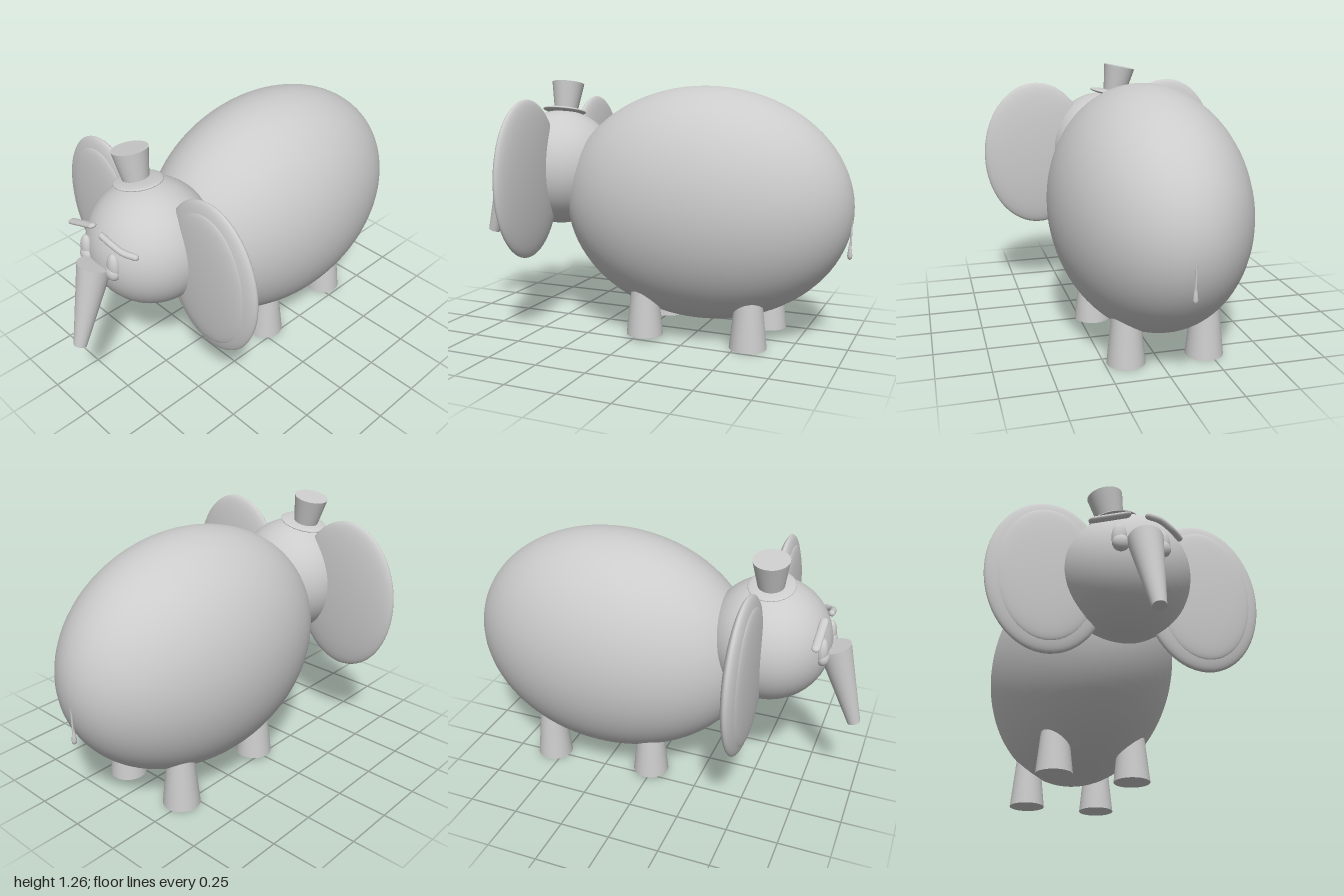
import * as THREE from 'three';

const material = new THREE.MeshStandardMaterial({ color: 0xcccccc });

// Adds a named mesh to a parent
function add(parent, name, geometry, [x, y, z]) {
  const mesh = new THREE.Mesh(geometry, material);
  mesh.name = name;
  mesh.position.set(x, y, z);
  parent.add(mesh);
  return mesh;
}

// Smooth ellipsoid with the given centre and radii
function ellipsoid(parent, name, centre, radii, segments = 40) {
  const geometry = new THREE.SphereGeometry(1, segments, Math.ceil(segments * 0.7));
  geometry.scale(...radii);
  return add(parent, name, geometry, centre);
}

// Tapered cylinder running from a lower to an upper point
function taper(parent, name, bottom, top, rBottom, rTop, segments = 32) {
  const a = new THREE.Vector3(...bottom), b = new THREE.Vector3(...top);
  const axis = b.clone().sub(a);
  const geometry = new THREE.CylinderGeometry(rTop, rBottom, axis.length(), segments);
  const mesh = add(parent, name, geometry, a.add(b).multiplyScalar(0.5).toArray());
  mesh.quaternion.setFromUnitVectors(new THREE.Vector3(0, 1, 0), axis.normalize());
  return mesh;
}

export function createModel() {
  const model = new THREE.Group();
  model.name = 'elephant';

  ellipsoid(model, 'body', [-0.025, 0.655, -0.268], [0.46, 0.575, 0.73], 64);

  // Head with eyes and trunk
  const head = new THREE.Group();
  head.name = 'head';
  model.add(head);
  ellipsoid(head, 'skull', [-0.008, 0.802, 0.53], [0.297, 0.297, 0.297], 48);
  for (const [side, s] of [['left', 1], ['right', -1]]) {
    ellipsoid(head, side + 'Eye', [-0.022 + s * 0.097, 0.835, 0.802], [0.035, 0.067, 0.028], 24);
    ellipsoid(head, side + 'Pupil', [-0.022 + s * 0.092, 0.805, 0.808], [0.04, 0.04, 0.03], 24);

    // Ear: thin outer lens with a smaller lens set into its front
    const ear = new THREE.Group();
    ear.name = side + 'Ear';
    head.add(ear);
    ellipsoid(ear, 'outerEar', [s * 0.368, 0.778, 0.507], [0.286, 0.387, 0.054], 48);
    ellipsoid(ear, 'innerEar', [s * 0.37, 0.778, 0.53], [0.236, 0.338, 0.035], 48);
  }
  taper(head, 'trunk', [-0.012, 0.427, 0.971], [-0.016, 0.818, 0.84], 0.031, 0.079);

  // Right brow is flat and stands off the face, left brow bends along it
  const rightBrow = new THREE.CapsuleGeometry(0.02, 0.165, 8, 16);
  rightBrow.rotateZ(Math.PI / 2);
  rightBrow.scale(1, 0.6, 1);
  add(head, 'rightBrow', rightBrow, [-0.156, 0.94, 0.79]).rotation.z = 0.35;

  const browPath = new THREE.CatmullRomCurve3([
    new THREE.Vector3(0.015, 0.968, 0.805),
    new THREE.Vector3(0.07, 0.957, 0.803),
    new THREE.Vector3(0.13, 0.93, 0.785),
    new THREE.Vector3(0.175, 0.915, 0.755),
  ]);
  add(head, 'leftBrow', new THREE.TubeGeometry(browPath, 20, 0.015, 12), [0, 0, 0]);
  for (const t of [0, 1]) {
    ellipsoid(head, 'leftBrowEnd', browPath.getPoint(t).toArray(), [0.015, 0.015, 0.015], 12);
  }

  // Tilted top hat
  const hat = new THREE.Group();
  hat.name = 'hat';
  hat.position.set(-0.062, 1.095, 0.537);
  hat.rotation.z = 0.2;
  model.add(hat);
  ellipsoid(hat, 'brim', [0, 0, 0], [0.122, 0.016, 0.11], 40);
  taper(hat, 'crown', [-0.015, 0, 0], [-0.015, 0.15, 0], 0.06, 0.085);

  // Legs: x, foot height, z
  const legs = [
    ['frontLeftLeg', 0.19, 0.018, -0.038],
    ['frontRightLeg', -0.205, 0.018, -0.005],
    ['backLeftLeg', 0.15, 0, -0.555],
    ['backRightLeg', -0.228, 0, -0.555],
  ];
  for (const [name, x, y, z] of legs) {
    taper(model, name, [x, y, z], [x, y + 0.3, z], 0.09, 0.058);
  }

  // Tail with a drop-shaped tuft
  const tail = new THREE.Group();
  tail.name = 'tail';
  model.add(tail);
  taper(tail, 'tailCord', [-0.02, 0.48, -0.99], [-0.02, 0.655, -0.992], 0.005, 0.005, 12);
  const tuft = [[0, -0.045], [0.009, -0.038], [0.012, -0.025], [0.009, 0], [0.004, 0.035], [0, 0.04]];
  add(tail, 'tailTuft', new THREE.LatheGeometry(tuft.map(p => new THREE.Vector2(...p)), 16), [-0.02, 0.475, -0.988]);

  return model;
}
